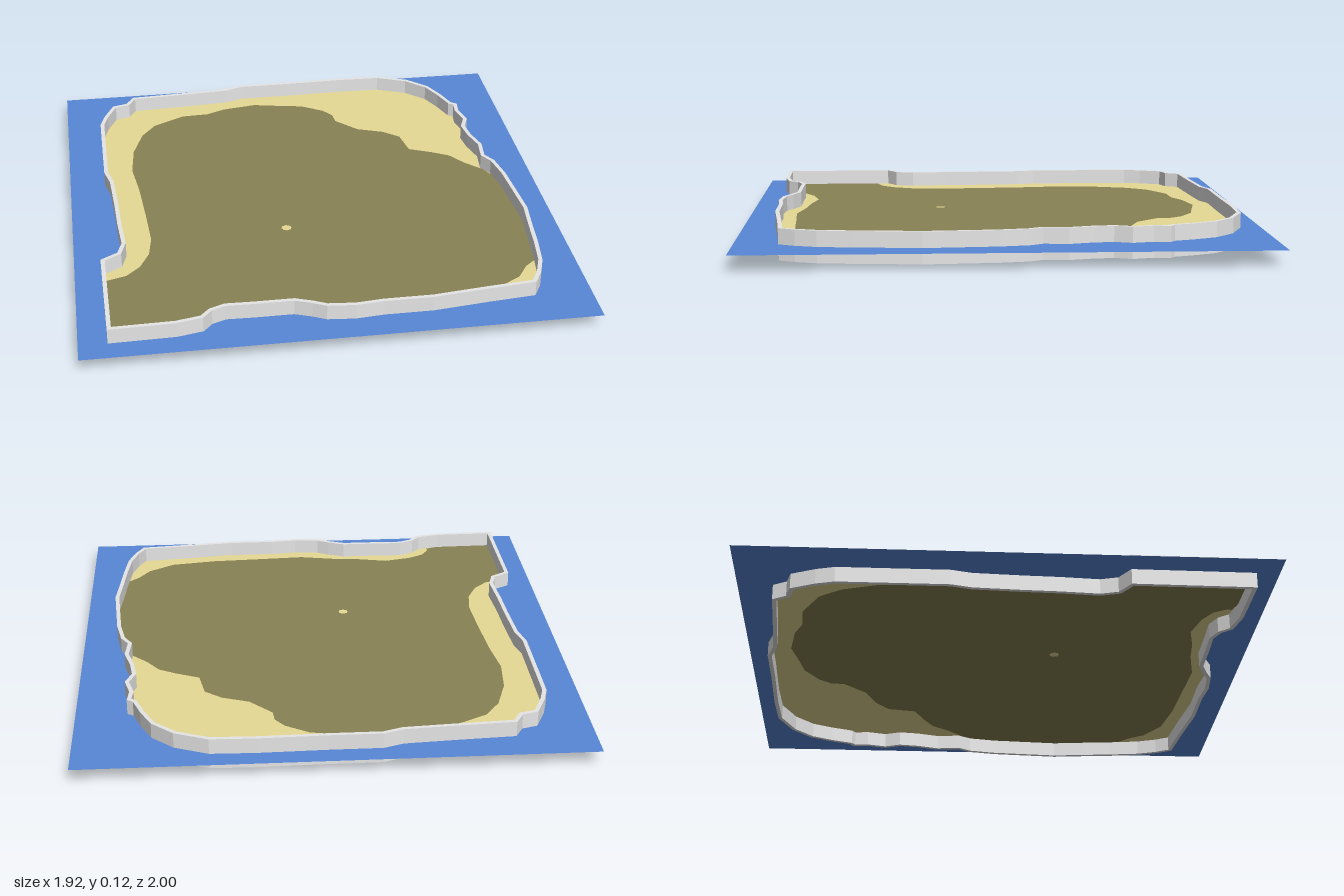
import * as THREE from 'three';

const SHEET_Y = 0.06, WALL_HEIGHT = 0.12, WALL_WIDTH = 0.016;

// Coastline as x, z pairs, clockwise from above
const COAST = [
  -.66, -.86, -.45, -.872, -.245, -.886, -.17, -.912, .03, -.912, .29, -.917, .46, -.912,
  .585, -.86, .665, -.785, .705, -.70, .735, -.615, .757, -.60, .75, -.54, .77, -.46,
  .745, -.395, .755, -.315, .78, -.225, .77, -.13, .80, -.08, .82, .03, .829, .16,
  .839, .31, .824, .45, .814, .56, .797, .69, .77, .77, .738, .828, .56, .845,
  .345, .87, .16, .87, .055, .88, -.05, .87, -.10, .845, -.165, .82, -.315, .82,
  -.42, .817, -.475, .84, -.51, .88, -.605, .90, -.845, .905, -.85, .455, -.785, .415,
  -.765, .345, -.775, .20, -.78, .055, -.79, -.13, -.81, -.21, -.81, -.395, -.81, -.63,
  -.79, -.70, -.75, -.79, -.69, -.807,
];

// Edge of the olive interior, same order
const INTERIOR = [
  -.845, .51, -.765, .485, -.71, .43, -.67, .345, -.655, .24, -.665, .055, -.68, -.155,
  -.70, -.315, -.685, -.475, -.64, -.615, -.58, -.70, -.45, -.77, -.34, -.775, -.26, -.81,
  -.12, -.833, 0, -.807, .09, -.79, .18, -.733, .215, -.685, .22, -.63, .305, -.54,
  .41, -.50, .475, -.447, .495, -.33, .585, -.29, .655, -.25, .705, -.18, .77, -.115,
  .797, -.06, .813, .03, .822, .16, .832, .31, .817, .45, .803, .60, .76, .637,
  .715, .705, .61, .77, .425, .797, .215, .807, .03, .817, -.13, .785, -.235, .775,
  -.35, .75, -.46, .775, -.525, .81, -.555, .86, -.55, .875, -.60, .893, -.84, .90,
];

// x, z pairs to points in the shape plane (shape y is -z)
function toPoints(pairs) {
  const points = [];
  for (let i = 0; i < pairs.length; i += 2) points.push(new THREE.Vector2(pairs[i], -pairs[i + 1]));
  return points;
}

// Shift a clockwise loop outward by d, with limited mitres
function offsetLoop(points, d) {
  const n = points.length;
  return points.map((p, i) => {
    const a = p.clone().sub(points[(i + n - 1) % n]).normalize();
    const b = points[(i + 1) % n].clone().sub(p).normalize();
    const normal = new THREE.Vector2(-a.y - b.y, a.x + b.x).normalize();
    const cos = Math.max(0.6, normal.dot(new THREE.Vector2(-a.y, a.x)));
    return p.clone().addScaledVector(normal, d / cos);
  });
}

function shapeWithHoles(outer, ...holes) {
  const shape = new THREE.Shape(outer);
  for (const hole of holes) shape.holes.push(new THREE.Path(hole));
  return shape;
}

export function createModel() {
  const model = new THREE.Group();
  model.name = 'islandMap';

  const material = (name, color) => {
    const m = new THREE.MeshStandardMaterial({ color, side: THREE.DoubleSide });
    m.name = name;
    return m;
  };
  const seaBlue = material('seaBlue', 0x5888d8);
  const sand = material('sand', 0xe6da94);
  const olive = material('olive', 0x888253);
  const wallGrey = material('wallGrey', 0xe6e6e6);

  const add = (name, geometry, mat, y) => {
    const mesh = new THREE.Mesh(geometry.rotateX(-Math.PI / 2), mat);
    mesh.name = name;
    mesh.position.y = y;
    model.add(mesh);
  };

  const coast = toPoints(COAST);
  const interior = toPoints(INTERIOR);
  const border = toPoints([-.96, -1, .96, -1, .96, 1, -.96, 1]);
  const clearing = new THREE.Path().absarc(-.115, -.23, .02, 0, Math.PI * 2).getPoints(4);
  clearing.pop();

  // Flat map sheet, cut into its coloured regions
  add('sea', new THREE.ShapeGeometry(shapeWithHoles(border, coast)), seaBlue, SHEET_Y);
  add('beach', new THREE.ShapeGeometry(shapeWithHoles(coast, interior)), sand, SHEET_Y);
  add('interior', new THREE.ShapeGeometry(shapeWithHoles(interior, clearing)), olive, SHEET_Y);
  add('clearing', new THREE.ShapeGeometry(shapeWithHoles(clearing)), sand, SHEET_Y);

  // Wall along the coast, reaching above and below the sheet; its inner loop runs the other way
  const inner = offsetLoop(coast, -WALL_WIDTH / 2).reverse();
  const wall = shapeWithHoles(offsetLoop(coast, WALL_WIDTH / 2), inner);
  add('coastWall', new THREE.ExtrudeGeometry(wall, { depth: WALL_HEIGHT, bevelEnabled: false }), wallGrey, 0);

  return model;
}
